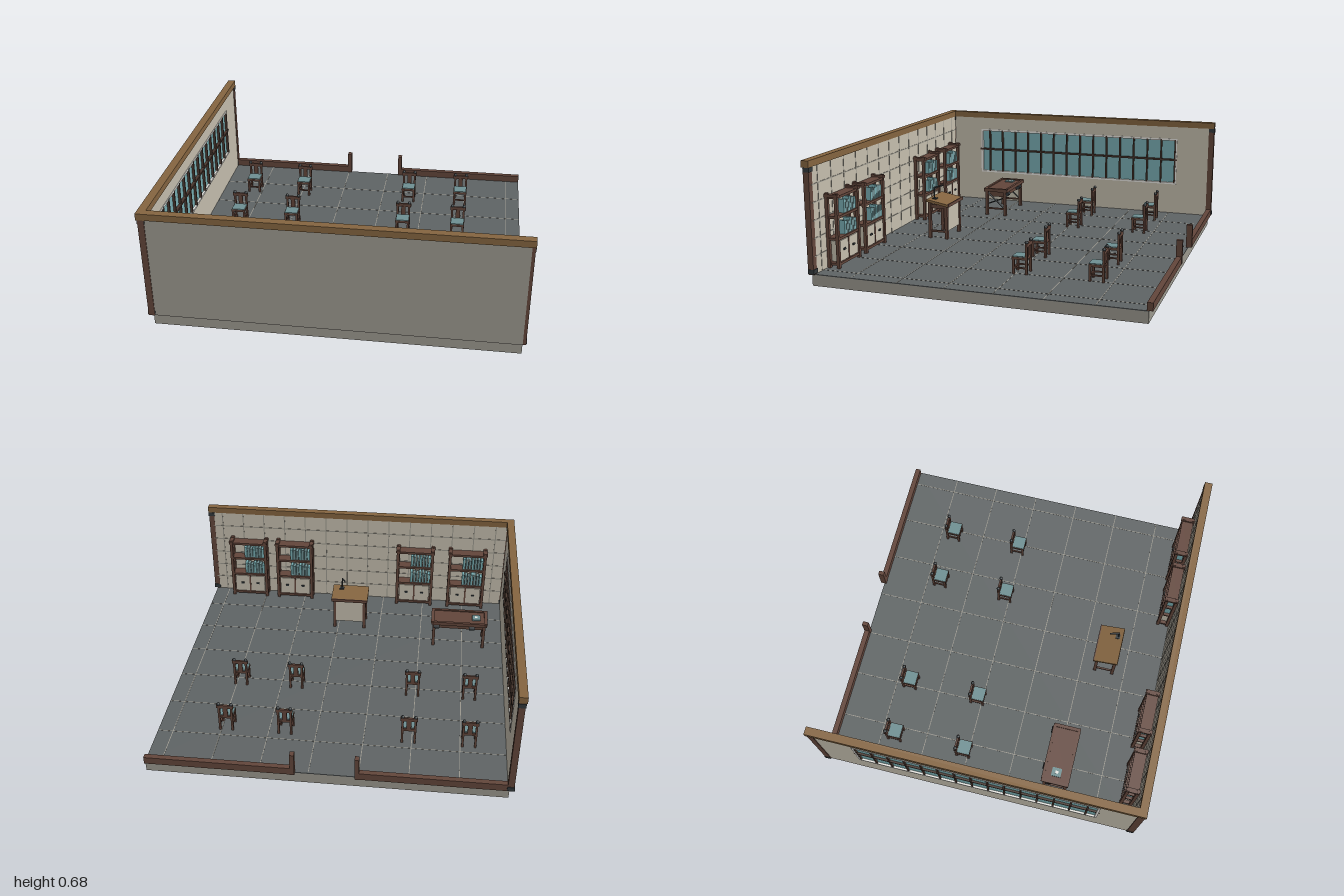
import * as THREE from 'three';

const mat = (name, color) => {
  const m = new THREE.MeshStandardMaterial({ color });
  m.name = name;
  return m;
};

export function createModel() {
  const stone = mat('stone', 0x9c998f), plaster = mat('plaster', 0xc6bfaf), slate = mat('slate', 0x5f6465);
  const wood = mat('dark wood', 0x63463b), oak = mat('oak', 0x856540), muntin = mat('window bar', 0x4a382f);
  const glass = mat('glass', 0x79afb4), cloth = mat('teal cloth', 0x6f9093);
  const white = mat('white', 0xf0efea), iron = mat('iron', 0x33393c);
  const F = 0.065; // floor level
  const room = new THREE.Group();
  room.name = 'classroom';

  // box from its limits on each axis
  const box = (parent, name, m, x0, x1, y0, y1, z0, z1) => {
    const mesh = new THREE.Mesh(new THREE.BoxGeometry(x1 - x0, y1 - y0, z1 - z0), m);
    mesh.position.set((x0 + x1) / 2, (y0 + y1) / 2, (z0 + z1) / 2);
    mesh.name = name;
    parent.add(mesh);
    return mesh;
  };
  // round bar between two points
  const bar = (parent, name, m, a, b, r) => {
    const p = new THREE.Vector3(...a), q = new THREE.Vector3(...b);
    const mesh = new THREE.Mesh(new THREE.CylinderGeometry(r, r, p.distanceTo(q), 8), m);
    mesh.position.copy(p).lerp(q, 0.5);
    mesh.quaternion.setFromUnitVectors(new THREE.Vector3(0, 1, 0), q.sub(p).normalize());
    mesh.name = name;
    parent.add(mesh);
    return mesh;
  };
  const group = (name, x = 0, z = 0, y = F) => {
    const g = new THREE.Group();
    g.name = name;
    g.position.set(x, y, z);
    room.add(g);
    return g;
  };

  // floor slab with tile joints
  box(room, 'slab', stone, -0.97, 0.975, 0, F - 0.004, -0.91, 0.905);
  box(room, 'floor', slate, -0.97, 0.975, F - 0.004, F, -0.91, 0.905);
  for (let i = 0; i < 7; i++) {
    const x = -0.71 + i * 0.2665;
    box(room, 'tileJoint', stone, x - 0.002, x + 0.002, F, F + 0.001, -0.9, 0.89);
  }
  for (let i = 0; i < 6; i++) {
    const z = -0.65 + i * 0.266;
    box(room, 'tileJoint', stone, -0.96, 0.975, F, F + 0.001, z - 0.002, z + 0.002);
  }

  // front wall with panelled inside
  box(room, 'frontWall', stone, -0.97, 0.975, F, 0.645, 0.892, 0.92);
  box(room, 'innerPanel', plaster, -0.96, 0.97, F, 0.645, 0.886, 0.892);
  for (let r = 0; r < 6; r++) {
    const y = F + r * 0.097;
    if (r) box(room, 'panelJoint', stone, -0.96, 0.97, y - 0.003, y + 0.003, 0.884, 0.886);
    for (let i = 0; i < 14; i++) {
      const x = -0.89 + i * 0.138;
      box(room, 'panelJoint', stone, x - 0.003, x + 0.003, y + 0.003, y + 0.094, 0.884, 0.886);
    }
  }

  // window wall, built round its opening
  const W0 = -0.988, W1 = -0.962;
  box(room, 'wallBelowWindow', plaster, W0, W1, F, 0.26, -0.9, 0.892);
  box(room, 'wallAboveWindow', plaster, W0, W1, 0.565, 0.645, -0.9, 0.892);
  box(room, 'wallBesideWindow', plaster, W0, W1, 0.26, 0.565, -0.9, -0.692);
  box(room, 'wallBesideWindow', plaster, W0, W1, 0.26, 0.565, 0.69, 0.892);
  const f0 = W0 - 0.003, f1 = W1 + 0.003;
  box(room, 'windowFrame', white, f0, f1, 0.26, 0.272, -0.692, 0.69);
  box(room, 'windowFrame', white, f0, f1, 0.552, 0.565, -0.692, 0.69);
  box(room, 'windowFrame', white, f0, f1, 0.272, 0.552, -0.692, -0.68);
  box(room, 'windowFrame', white, f0, f1, 0.272, 0.552, 0.677, 0.69);
  box(room, 'windowGlass', glass, -0.979, -0.971, 0.272, 0.552, -0.68, 0.677);
  for (let i = 0; i < 15; i++) {
    const z = 0.625 - i * 0.0932;
    box(room, 'windowBar', muntin, f0 + 0.002, f1 + 0.002, 0.268, 0.56, z - 0.005, z + 0.005);
  }
  box(room, 'windowCrossBar', muntin, f0, f1 + 0.005, 0.419, 0.43, -0.695, 0.695);

  // corner posts with iron bands
  for (const [x0, x1, z0, z1] of [[-0.995, -0.955, 0.885, 0.924], [0.955, 0.995, 0.885, 0.918], [-0.995, -0.955, -0.93, -0.896]]) {
    box(room, 'cornerPost', wood, x0 + 0.003, x1 - 0.003, F, 0.645, z0, z1);
    for (const y of [0.07, 0.62])
      box(room, 'postBand', iron, x0, x1, y, y + 0.024, z0 - 0.004, z1 - 0.001);
  }
  // top beams
  box(room, 'frontBeam', oak, -1, 0.995, 0.645, 0.682, 0.882, 0.926);
  box(room, 'sideBeam', oak, -1, -0.955, 0.645, 0.682, -0.93, 0.882);

  // low back rails with short posts at the doorway
  for (const [a, b, p] of [[-0.96, -0.16, -0.172], [0.16, 0.975, 0.172]]) {
    box(room, 'backRail', wood, a, b, F, F + 0.042, -0.93, -0.9);
    box(room, 'doorPost', wood, p - 0.012, p + 0.012, F, F + 0.135, -0.932, -0.898);
  }

  // chairs
  const addChair = (x, z) => {
    const g = group('chair', x, z);
    for (const s of [-1, 1]) {
      const c = s * 0.035;
      box(g, 'frontLeg', wood, c - 0.006, c + 0.006, 0, 0.085, 0.03, 0.042);
      box(g, 'backPost', wood, c - 0.006, c + 0.006, 0, 0.178, -0.043, -0.03);
      box(g, 'sideStretcher', wood, c - 0.004, c + 0.004, 0.03, 0.038, -0.03, 0.03);
      const knob = new THREE.Mesh(new THREE.SphereGeometry(0.01, 10, 8), iron);
      knob.position.set(c, 0.177, -0.037);
      knob.name = 'finial';
      g.add(knob);
    }
    box(g, 'seat', wood, -0.042, 0.042, 0.08, 0.094, -0.038, 0.044);
    box(g, 'cushion', cloth, -0.039, 0.039, 0.094, 0.099, -0.03, 0.042);
    box(g, 'topRail', wood, -0.047, 0.047, 0.152, 0.172, -0.043, -0.032);
    box(g, 'backSlat', wood, -0.013, 0.013, 0.094, 0.155, -0.04, -0.03);
    box(g, 'frontStretcher', wood, -0.03, 0.03, 0.03, 0.038, 0.032, 0.04);
  };
  for (const z of [-0.565, -0.145]) for (const x of [-0.757, -0.425, 0.262, 0.594]) addChair(x, z);

  // bookcases with open shelves above two drawers
  const addBookcase = (x) => {
    const g = group('bookcase', x, 0.845);
    for (const s of [-1, 1]) {
      const c = s * 0.113;
      for (const z of [-0.026, 0.03]) box(g, 'shelfPost', wood, c - 0.009, c + 0.009, 0, 0.415, z - 0.009, z + 0.009);
      box(g, 'topBracket', wood, c - 0.013, c + 0.013, 0.395, 0.41, -0.04, 0.04);
    }
    for (const y of [0.015, 0.155, 0.275, 0.385]) box(g, 'shelf', wood, -0.118, 0.118, y, y + 0.014, -0.032, 0.035);
    for (const s of [-1, 1]) {
      const c = s * 0.052;
      box(g, 'drawer', plaster, c - 0.047, c + 0.047, 0.032, 0.148, -0.027, 0.03);
      box(g, 'drawerHandle', iron, c - 0.01, c + 0.01, 0.09, 0.1, -0.034, -0.027);
    }
    box(g, 'drawerDivider', wood, -0.005, 0.005, 0.029, 0.155, -0.03, 0.03);
    for (const y of [0.169, 0.289])
      for (let i = 0; i < 7; i++) {
        const bx = -0.102 + i * 0.019;
        box(g, 'book', i % 3 ? cloth : glass, bx, bx + 0.016, y, y + 0.066 + (i * 5 % 4) * 0.005, -0.022, 0.02);
      }
  };
  [-0.722, -0.382, 0.42, 0.728].forEach(addBookcase);

  // lectern with sloping top
  const lectern = group('lectern', 0.017, 0.553);
  for (const s of [-1, 1]) {
    const c = s * 0.095;
    box(lectern, 'backLeg', wood, c - 0.009, c + 0.009, 0, 0.222, 0.045, 0.063);
    box(lectern, 'frontLeg', wood, c - 0.009, c + 0.009, 0, 0.208, -0.062, -0.044);
    box(lectern, 'stretcher', wood, c - 0.005, c + 0.005, 0.038, 0.05, -0.045, 0.046);
    box(lectern, 'sideApron', wood, c - 0.005, c + 0.005, 0.185, 0.208, -0.045, 0.046);
  }
  box(lectern, 'frontPanel', plaster, -0.086, 0.086, 0.045, 0.2, -0.056, -0.05);
  box(lectern, 'slopingTop', oak, -0.115, 0.115, 0.213, 0.228, -0.07, 0.07).rotation.x = -0.18;
  box(lectern, 'topLip', wood, -0.115, 0.115, 0.2, 0.219, -0.076, -0.069);
  // reading lamp
  box(lectern, 'lampBase', iron, 0.044, 0.072, 0.229, 0.24, 0.024, 0.05);
  bar(lectern, 'lampStem', iron, [0.058, 0.235, 0.04], [0.056, 0.305, 0.04], 0.004);
  bar(lectern, 'lampArm', iron, [0.056, 0.302, 0.042], [0.035, 0.318, -0.012], 0.005);

  // writing desk
  const desk = group('desk', -0.685, 0.42);
  for (const s of [-1, 1]) {
    const c = s * 0.155;
    for (const z of [-0.06, 0.065]) box(desk, 'deskLeg', wood, c - 0.009, c + 0.009, 0, 0.165, z - 0.009, z + 0.009);
    box(desk, 'sideStretcher', wood, c - 0.005, c + 0.005, 0.04, 0.05, -0.052, 0.058);
    bar(desk, 'sideBrace', iron, [c, 0.05, -0.055], [c, 0.15, 0.06], 0.005);
    bar(desk, 'sideBrace', iron, [c, 0.075, 0.06], [c, 0.12, -0.055], 0.004);
    box(desk, 'endRim', wood, s * 0.165 - 0.01, s * 0.165 + 0.01, 0.168, 0.182, -0.075, 0.08);
  }
  box(desk, 'drawerBox', wood, -0.15, 0.15, 0.125, 0.162, -0.055, 0.05);
  box(desk, 'deskTop', wood, -0.172, 0.172, 0.16, 0.175, -0.08, 0.08);
  for (const z of [-0.073, 0.073]) box(desk, 'longRim', wood, -0.155, 0.155, 0.168, 0.182, z - 0.008, z + 0.008);
  box(desk, 'notebook', cloth, -0.13, -0.08, 0.175, 0.183, -0.03, 0.025);
  box(desk, 'notePaper', white, -0.113, -0.097, 0.183, 0.185, -0.01, 0.008);
  for (const x of [-0.08, 0.14])
    bar(desk, 'scrollHandle', iron, [x - 0.018, 0.148, -0.071], [x + 0.018, 0.148, -0.071], 0.016);

  return room;
}
